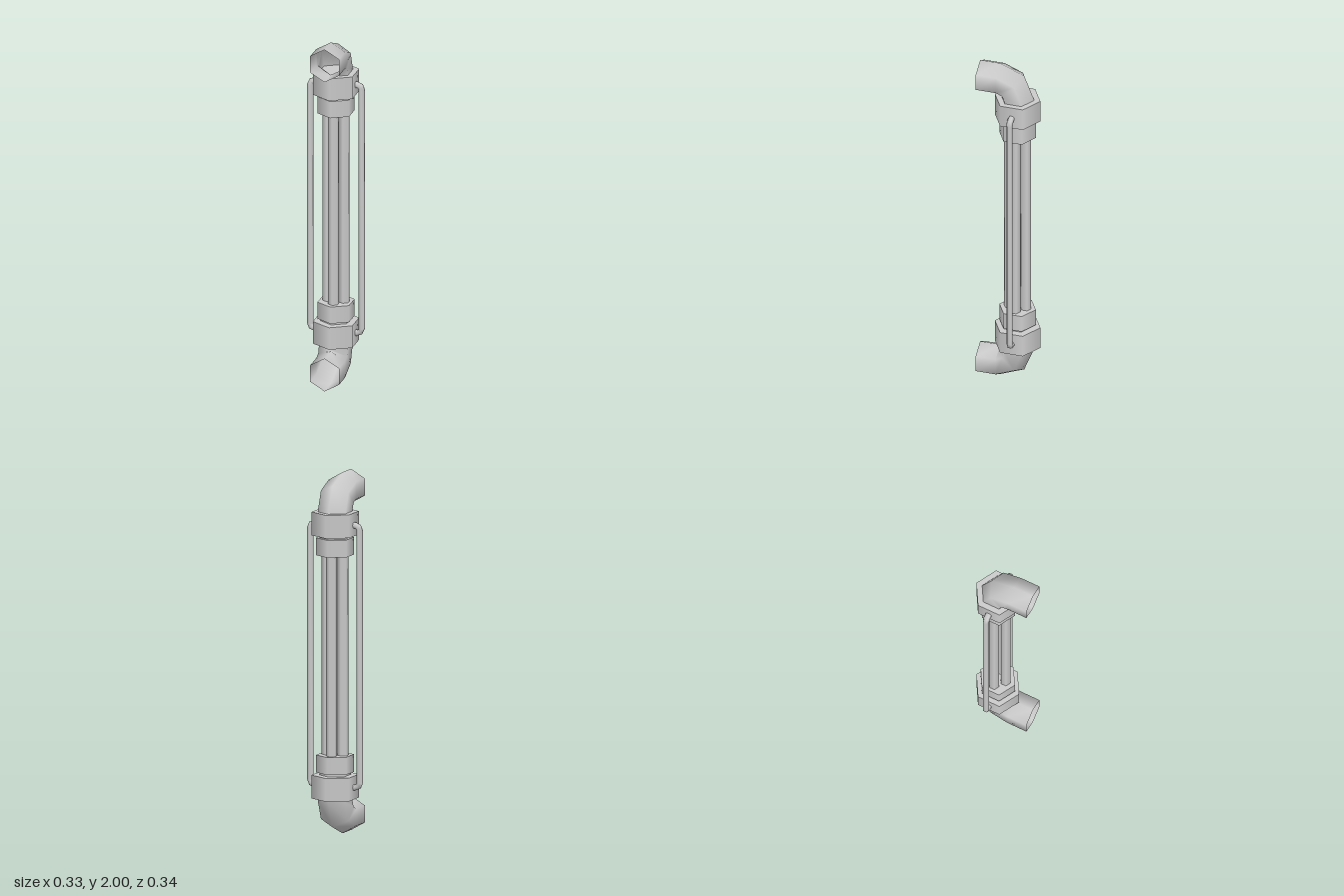
import * as THREE from 'three';

const SIDES = 6;
const material = new THREE.MeshStandardMaterial({ color: 0xcccccc });
const openMaterial = new THREE.MeshStandardMaterial({ color: 0xcccccc, side: THREE.DoubleSide });

// Sweeps a hexagon along stations [x, y, heading in degrees] in the xy plane.
// With phase 0 a corner lies in the plane; with phase PI / 2 a corner faces z.
function sweep(stations, radius, phase) {
  const positions = [];
  const index = [];
  stations.forEach(([x, y, heading], i) => {
    const h = THREE.MathUtils.degToRad(heading);
    for (let j = 0; j < SIDES; j++) {
      const a = phase + (j / SIDES) * Math.PI * 2;
      const n = radius * Math.cos(a);
      positions.push(x - Math.sin(h) * n, y + Math.cos(h) * n, radius * Math.sin(a));
      if (i === 0) continue;
      const k = (j + 1) % SIDES;
      const p = (i - 1) * SIDES;
      const q = i * SIDES;
      index.push(p + j, p + k, q + j, p + k, q + k, q + j);
    }
  });
  const geometry = new THREE.BufferGeometry();
  geometry.setAttribute('position', new THREE.Float32BufferAttribute(positions, 3));
  geometry.setIndex(index);
  geometry.computeVertexNormals();
  return geometry;
}

function addMesh(parent, name, geometry, mat = material) {
  const mesh = new THREE.Mesh(geometry, mat);
  mesh.name = name;
  parent.add(mesh);
  return mesh;
}

// Upright hexagonal prism between two heights
function prism(parent, name, radius, y0, y1) {
  const mesh = addMesh(parent, name, new THREE.CylinderGeometry(radius, radius, y1 - y0, SIDES));
  mesh.position.y = (y0 + y1) / 2;
  return mesh;
}

// Collar stack and open elbow
function createEnd(name, drop) {
  const end = new THREE.Group();
  end.name = name;
  prism(end, 'outerCollar', 0.13, 1.669 - drop, 1.798 - drop);
  prism(end, 'neck', 0.086, 1.64 - drop, 1.68 - drop);
  prism(end, 'innerCollar', 0.104, 1.558 - drop, 1.655 - drop);
  const elbow = sweep([
    [0, 1.76, 90], [0, 1.8, 90], [0.029, 1.876, 45], [0.1, 1.905, 0], [0.214, 1.905, 0],
  ], 0.095, 0);
  elbow.rotateY(-Math.PI / 2);
  addMesh(end, 'elbowPipe', elbow, openMaterial);
  return end;
}

export function createModel() {
  const model = new THREE.Group();
  model.name = 'pipeColumn';
  model.position.z = -0.042;

  // Matching ends, the lower one turned upside down
  const bottom = createEnd('bottomEnd', 0.01);
  bottom.rotation.z = Math.PI;
  bottom.position.y = 2;
  model.add(createEnd('topEnd', 0), bottom);

  // Four core rods
  for (let i = 0; i < 4; i++) {
    const a = (i * Math.PI) / 2;
    const rod = prism(model, 'coreRod', 0.03, 0.43, 1.58);
    rod.position.x = 0.047 * Math.sin(a);
    rod.position.z = 0.047 * Math.cos(a);
  }

  // Thin bypass pipe on each side
  const bypass = sweep([
    [0.1, 1.73, 0], [0.12, 1.73, 0], [0.139, 1.722, -45], [0.147, 1.703, -90],
    [0.147, 0.305, -90], [0.139, 0.286, -135], [0.12, 0.278, -180], [0.1, 0.278, -180],
  ], 0.018, Math.PI / 2);
  addMesh(model, 'leftBypassPipe', bypass);
  addMesh(model, 'rightBypassPipe', bypass).rotation.y = Math.PI;

  const root = new THREE.Group();
  root.add(model);
  return root;
}
